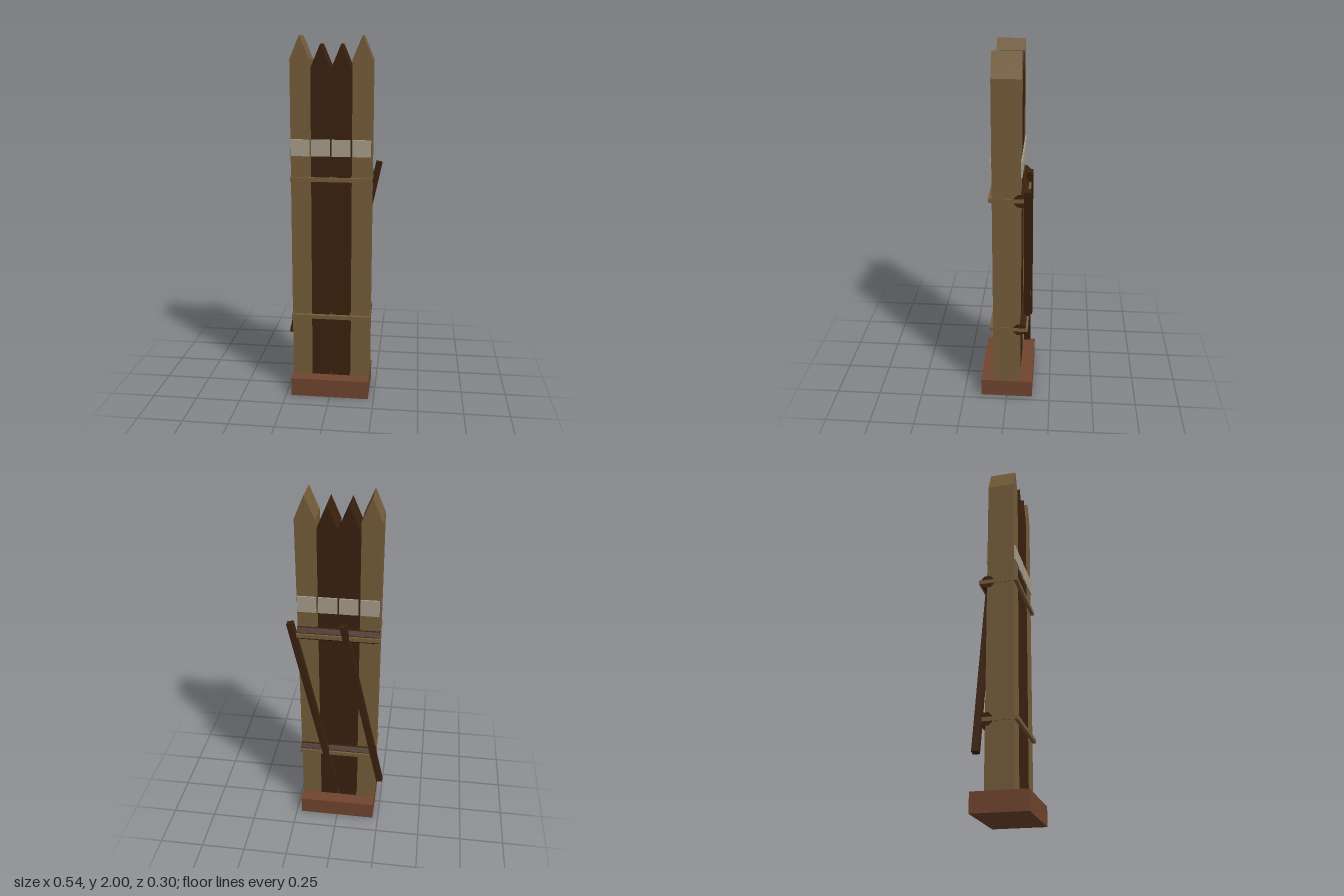
import * as THREE from 'three';

const mat = (name, color) => {
  const m = new THREE.MeshStandardMaterial({ color });
  m.name = name;
  return m;
};

export function createModel() {
  const lightWood = mat('light wood', 0x755d3a);
  const darkWood = mat('dark wood', 0x3b210e);
  const clay = mat('red clay', 0x71452f);
  const paint = mat('pale paint', 0xa89f8c);

  const model = new THREE.Group();
  model.name = 'palisade';
  const add = (name, geometry, material, x, y, z, parent = model) => {
    const mesh = new THREE.Mesh(geometry, material);
    mesh.name = name;
    mesh.position.set(x, y, z);
    parent.add(mesh);
    return mesh;
  };
  const box = (w, h, d) => new THREE.BoxGeometry(w, h, d);

  // Footing
  add('base', box(0.438, 0.105, 0.297), clay, 0, 0.0525, 0);

  // Pointed stake: house-shaped outline extruded front to back
  const stakeGeometry = (shoulder, tip) => {
    const s = new THREE.Shape([
      new THREE.Vector2(-0.052, 0.1), new THREE.Vector2(0.052, 0.1),
      new THREE.Vector2(0.052, shoulder), new THREE.Vector2(0, tip),
      new THREE.Vector2(-0.052, shoulder),
    ]);
    return new THREE.ExtrudeGeometry(s, { depth: 0.15, bevelEnabled: false }).translate(0, 0, -0.075);
  };

  const beamHeights = [0.463, 1.248];
  for (const x of [-0.165, -0.055, 0.055, 0.165]) {
    const outer = Math.abs(x) > 0.1;
    add('stake', outer ? stakeGeometry(1.878, 2) : stakeGeometry(1.835, 1.957),
      outer ? lightWood : darkWood, x, 0, 0);

    // Painted stripes, front and back
    for (const z of [-1, 1])
      add('paintStripe', box(0.099, 0.09, 0.008), paint, x, 1.418, z * 0.0788);

    // Rope loop binding the stake to each beam
    for (const y of beamHeights) {
      const loop = new THREE.Group();
      loop.name = 'ropeLoop';
      loop.position.set(x, y, 0);
      model.add(loop);
      add('ropeFront', box(0.11, 0.022, 0.02), lightWood, 0, 0, 0.084, loop);
      add('ropeBack', box(0.11, 0.022, 0.018), lightWood, 0, 0, -0.111, loop);
      for (const side of [-1, 1])
        add('ropeSide', box(0.007, 0.022, 0.2), lightWood, side * 0.0515, 0, -0.013, loop);
    }
  }

  // Horizontal beams across the back
  const beam = new THREE.CylinderGeometry(0.038, 0.038, 0.436, 8).toNonIndexed();
  beam.rotateY(Math.PI / 8).rotateZ(Math.PI / 2).computeVertexNormals();
  for (const y of beamHeights) add('beam', beam, darkWood, 0, y, -0.073);

  // Leaning braces behind the beams
  for (const x of [-0.14, 0.14])
    add('brace', box(0.035, 1.06, 0.036), darkWood, x, 0.803, -0.1105).rotation.z = -0.21;

  return model;
}
